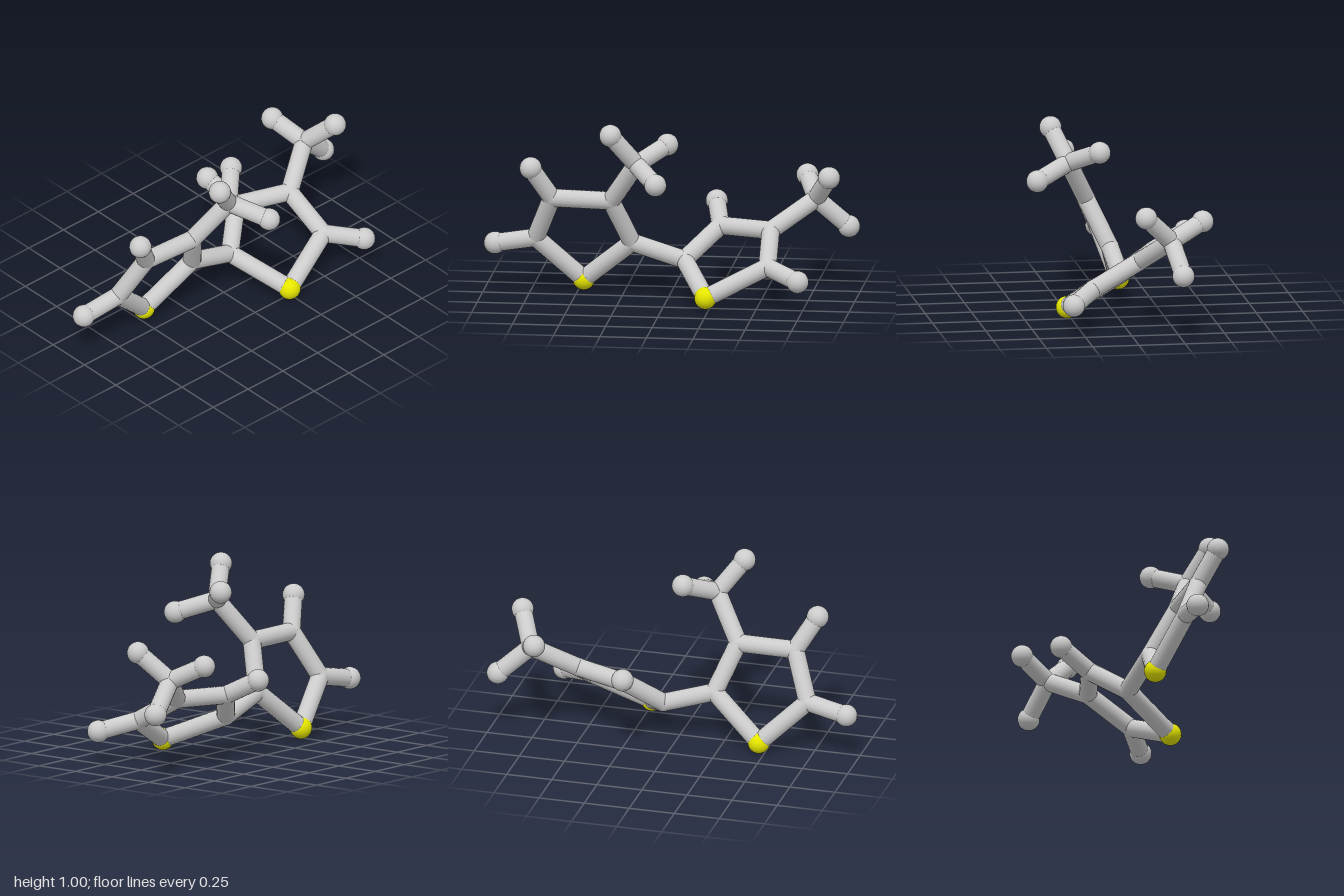
import * as THREE from 'three';

const BOND_R = 0.049, BALL_R = 0.06;

// Joint positions: carbon corners (c), sulfur corners (s), hydrogen ends (h)
const rightRing = {
  s: [-0.47, 0.065, -0.115],
  c1: [-0.2, 0.29, -0.03],
  c2: [-0.3, 0.54, 0.085],
  c3: [-0.62, 0.545, 0.07],
  c4: [-0.72, 0.3, -0.045],
  cMethyl: [-0.15, 0.77, 0.205],
  h3: [-0.725, 0.72, 0.14],
  h4: [-0.942, 0.26, -0.07],
  hA: [-0.28, 0.94, 0.28],
  hB: [0, 0.85, 0.058],
  hC: [-0.025, 0.7, 0.39],
};
const leftRing = {
  s: [0.23, 0.063, 0.27],
  c1: [0.08, 0.2, -0.04],
  c2: [0.257, 0.36, -0.185],
  c3: [0.54, 0.365, -0.075],
  c4: [0.553, 0.222, 0.18],
  cMethyl: [0.768, 0.515, -0.212],
  h2: [0.215, 0.455, -0.37],
  h4: [0.73, 0.173, 0.31],
  hA: [0.7, 0.605, -0.39],
  hB: [0.855, 0.663, -0.062],
  hC: [0.94, 0.36, -0.25],
};
const ringBonds = ['s c1', 'c1 c2', 'c2 c3', 'c3 c4', 'c4 s'];
const methylBonds = ['cMethyl hA', 'cMethyl hB', 'cMethyl hC'];

export function createModel() {
  const model = new THREE.Group();
  model.name = 'molecule';
  const grey = new THREE.MeshStandardMaterial({ color: 0xcccccc });
  const yellow = new THREE.MeshStandardMaterial({ color: 0xe6e600 });
  const up = new THREE.Vector3(0, 1, 0);

  // Straight rod between two joint centres
  function addBond(parent, from, to, name) {
    const a = new THREE.Vector3(...from), b = new THREE.Vector3(...to);
    const dir = b.clone().sub(a);
    const rod = new THREE.Mesh(
      new THREE.CylinderGeometry(BOND_R, BOND_R, dir.length(), 18), grey);
    rod.name = name;
    rod.position.copy(a).add(b).multiplyScalar(0.5);
    rod.quaternion.setFromUnitVectors(up, dir.normalize());
    parent.add(rod);
  }

  function addBall(parent, key, position) {
    const kind = key[0];
    const radius = kind === 'c' ? BOND_R + 0.001 : BALL_R;
    const ball = new THREE.Mesh(
      new THREE.SphereGeometry(radius, 20, 14), kind === 's' ? yellow : grey);
    ball.name = { s: 'sulfurBall', c: 'carbonJoint', h: 'hydrogenBall' }[kind];
    ball.position.set(...position);
    parent.add(ball);
  }

  // One five-sided ring with its side branches
  function addRing(name, atoms, branches) {
    const ring = new THREE.Group();
    ring.name = name;
    for (const [key, position] of Object.entries(atoms)) addBall(ring, key, position);
    const groups = { ringBond: ringBonds, branchBond: branches, methylBond: methylBonds };
    for (const [bondName, bonds] of Object.entries(groups)) {
      for (const pair of bonds) {
        const [a, b] = pair.split(' ');
        addBond(ring, atoms[a], atoms[b], bondName);
      }
    }
    model.add(ring);
  }

  addRing('rightRing', rightRing, ['c2 cMethyl', 'c3 h3', 'c4 h4']);
  addRing('leftRing', leftRing, ['c3 cMethyl', 'c2 h2', 'c4 h4']);

  // Rod joining the two rings
  addBond(model, rightRing.c1, leftRing.c1, 'linkingBond');
  return model;
}
